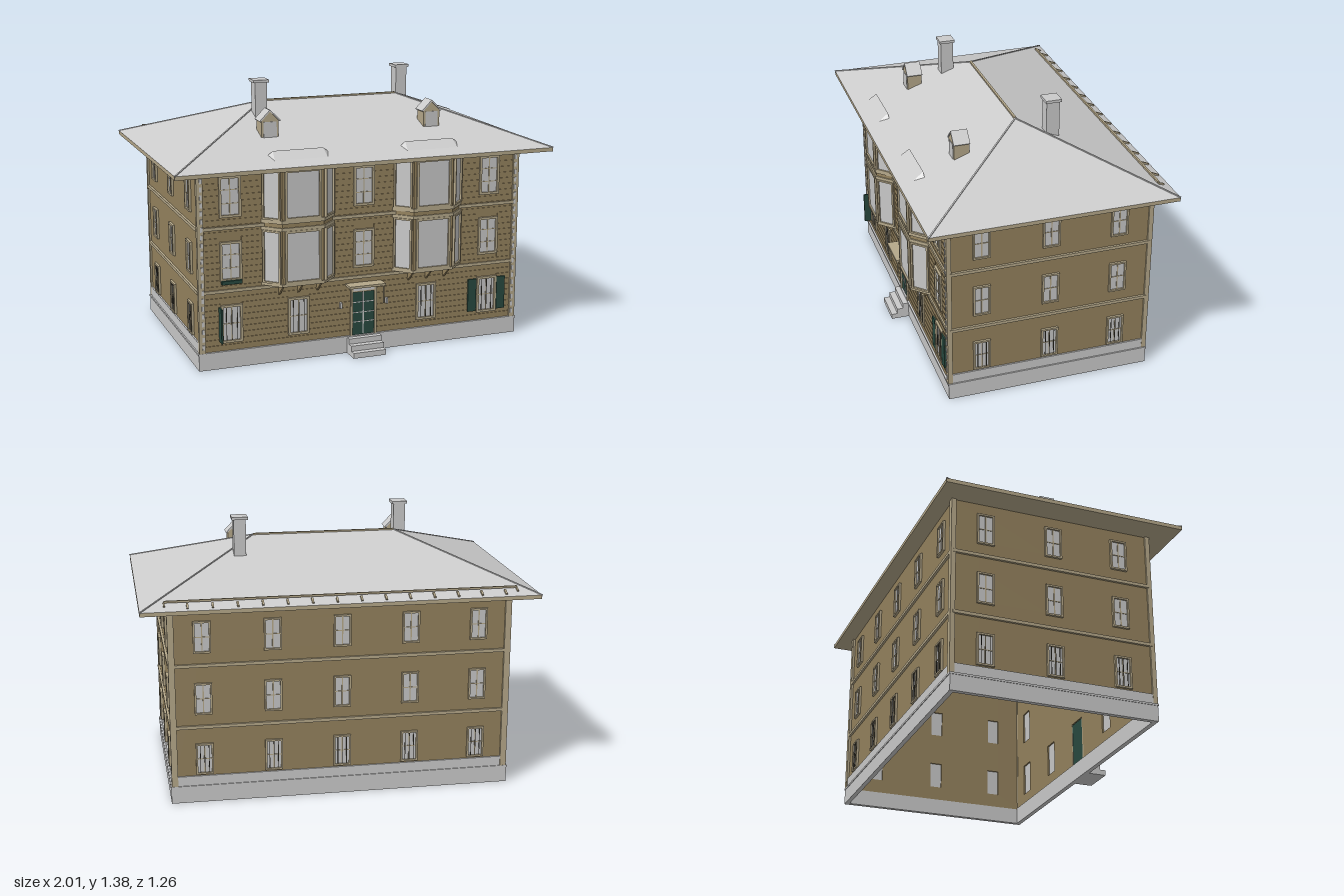
import * as THREE from 'three';

const mat = (name, color, side = THREE.FrontSide) => {
  const m = new THREE.MeshStandardMaterial({ color, side });
  m.name = name;
  return m;
};
const M = {
  wall: mat('ochre wall', 0x94825e),
  trim: mat('beige trim', 0xb5a88a),
  grey: mat('light grey stone', 0xcacaca),
  roof: mat('grey roof', 0xcccccc, THREE.DoubleSide),
  glass: mat('pale glass', 0xc8c8c8),
  green: mat('dark green', 0x28493f),
  iron: mat('dark iron', 0x4a463c),
};

function add(parent, name, geo, material, x = 0, y = 0, z = 0) {
  const m = new THREE.Mesh(geo, material);
  m.name = name;
  m.position.set(x, y, z);
  parent.add(m);
  return m;
}
// Box given by its limits on each axis
const box = (p, name, m, x0, x1, y0, y1, z0, z1) =>
  add(p, name, new THREE.BoxGeometry(x1 - x0, y1 - y0, z1 - z0), m, (x0 + x1) / 2, (y0 + y1) / 2, (z0 + z1) / 2);

function group(parent, name, x = 0, y = 0, z = 0, ry = 0) {
  const g = new THREE.Group();
  g.name = name;
  g.position.set(x, y, z);
  g.rotation.y = ry;
  parent.add(g);
  return g;
}
const rect = (T, x0, x1, y0, y1) => new T([[x0, y0], [x1, y0], [x1, y1], [x0, y1]].map(a => new THREE.Vector2(...a)));

// Rectangle with rectangular holes, extruded from z0 by depth
function pierced(x0, x1, y0, y1, holes, depth, z0) {
  const s = rect(THREE.Shape, x0, x1, y0, y1);
  s.holes = holes.map(h => rect(THREE.Path, ...h));
  return new THREE.ExtrudeGeometry(s, { depth, bevelEnabled: false }).translate(0, 0, z0);
}
// Horizontal slab from a plan outline of [x, z] points
function slab(points, y0, y1) {
  const s = new THREE.Shape(points.map(([x, z]) => new THREE.Vector2(x, -z)));
  return new THREE.ExtrudeGeometry(s, { depth: y1 - y0, bevelEnabled: false }).rotateX(-Math.PI / 2).translate(0, y0, 0);
}
// Flat faces from convex polygons, corners counter-clockwise from outside
function faces(polys) {
  const v = [];
  for (const p of polys) for (let i = 1; i < p.length - 1; i++) v.push(...p[0], ...p[i], ...p[i + 1]);
  const g = new THREE.BufferGeometry();
  g.setAttribute('position', new THREE.Float32BufferAttribute(v, 3));
  g.computeVertexNormals();
  return g;
}
// Thin bar between two points
function bar(p, name, m, a, b, t) {
  const A = new THREE.Vector3(...a), B = new THREE.Vector3(...b);
  const o = add(p, name, new THREE.BoxGeometry(t, t, A.distanceTo(B)), m);
  o.position.copy(A).add(B).multiplyScalar(0.5);
  o.lookAt(B);
}

// Framed window facing +z, centred on (x, y)
function windowUnit(parent, x, y, w, h, { cols = 2, rows = 3, bars = 0, z = 0, ry = 0, f = 0.012 } = {}) {
  const g = group(parent, 'window', x, y, z, ry), a = w / 2, b = h / 2;
  add(g, 'windowFrame', pierced(-a, a, -b, b, [[-a + f, a - f, -b + f, b - f]], 0.012, 0), M.trim);
  box(g, 'windowPane', M.glass, -a + f, a - f, -b + f, b - f, -0.004, 0.003);
  for (let i = 1; i < cols; i++) {
    const u = -a + (w * i) / cols;
    box(g, 'mullion', M.trim, u - 0.003, u + 0.003, -b + f, b - f, 0.002, 0.006);
  }
  for (let i = 1; i < rows; i++) {
    const u = -b + (h * i) / rows;
    box(g, 'glazingBar', M.trim, -a + f, a - f, u - 0.002, u + 0.002, 0.002, 0.006);
  }
  for (let i = 1; i <= bars; i++) {
    const u = -a + (w * i) / (bars + 1);
    box(g, 'windowGrille', M.iron, u - 0.0015, u + 0.0015, -b + f, b - f, 0.007, 0.01);
  }
}

const opening = ([x, y, w, h]) => [x - w / 2 + 0.011, x + w / 2 - 0.011, y - h / 2 + 0.011, y + h / 2 - 0.011];

// One outer wall with its windows and string courses
function facade(root, name, half, x, z, ry, wins, extraHoles = []) {
  const g = group(root, name, x, 0, z, ry);
  const holes = [...wins.map(opening), ...extraHoles];
  add(g, 'wall', pierced(-half, half, 0.085, 1.005, holes, 0.012, -0.012), M.wall);
  for (const [wx, wy, w, h, opt] of wins) windowUnit(g, wx, wy, w, h, opt);
  for (const y of [0.4, 0.72]) box(g, 'stringCourse', M.trim, -half, half, y - 0.008, y + 0.008, 0, 0.012);
  return g;
}

// Two-storey bay with angled sides
function bayWindow(root, x) {
  const g = group(root, 'bayWindow', x);
  const plan = e => [[-0.19 - e, 0.49], [-0.19 - e, 0.5], [-0.11 - e / 2, 0.58 + e], [0.11 + e / 2, 0.58 + e], [0.19 + e, 0.5], [0.19 + e, 0.49]];
  add(g, 'bayBody', slab(plan(-0.004), 0.415, 1.005), M.wall);
  for (const [y0, y1] of [[0.412, 0.426], [0.695, 0.712], [0.732, 0.75]]) add(g, 'bayLedge', slab(plan(0.003), y0, y1), M.trim);
  for (const [y, h] of [[0.561, 0.27], [0.875, 0.25]]) {
    windowUnit(g, 0, y, 0.19, h, { cols: 1, rows: 1, z: 0.574 });
    for (const s of [-1, 1]) windowUnit(g, s * 0.148, y, 0.098, h, { cols: 1, rows: 1, z: 0.537, ry: s * Math.PI / 4, f: 0.009 });
  }
  for (const bx of [-0.1, 0, 0.1]) {
    const s = new THREE.Shape([[0, 0], [0.075, 0.065], [0, 0.065]].map(a => new THREE.Vector2(...a)));
    const b = add(g, 'bayBracket', new THREE.ExtrudeGeometry(s, { depth: 0.01, bevelEnabled: false }), M.wall, bx + 0.005, 0.35, 0.497);
    b.rotation.y = -Math.PI / 2;
  }
  // Small hipped roof above the bay
  const a = [-0.175, 1.05, 0.505], b = [-0.14, 1.03, 0.58], c = [0.14, 1.03, 0.58], d = [0.175, 1.05, 0.505];
  const e = [0.13, 1.085, 0.505], f = [-0.13, 1.085, 0.505], low = p => [p[0], 1.02, p[2]];
  add(g, 'bayRoof', faces([[b, c, e, f], [a, b, f], [c, d, e], [a, f, e, d], [low(b), low(c), c, b], [low(a), low(b), b, a], [low(c), low(d), d, c]]), M.roof);
}

function dormer(root, x) {
  const g = group(root, 'dormer', x, 0, 0.27);
  const s = new THREE.Shape([[-0.045, 1.1], [0.045, 1.1], [0.045, 1.205], [0, 1.25], [-0.045, 1.205]].map(a => new THREE.Vector2(...a)));
  add(g, 'dormerBody', new THREE.ExtrudeGeometry(s, { depth: 0.078, bevelEnabled: false }), M.trim);
  box(g, 'dormerPane', M.glass, -0.034, 0.034, 1.12, 1.2, 0.077, 0.081);
  for (const k of [-1, 1]) {
    const r = add(g, 'dormerRoof', new THREE.BoxGeometry(0.076, 0.007, 0.084), M.roof, k * 0.026, 1.23, 0.04);
    r.rotation.z = -k * 0.79;
  }
}

export function createModel() {
  const root = new THREE.Group();
  root.name = 'house';

  // Open foundation ring
  const ring = (name, m, e, y0, y1) => {
    const gz = pierced(-0.872 - e, 0.872 + e, -0.505 - e, 0.55 + e, [[-0.848, 0.848, -0.48, 0.526]], y1 - y0, 0);
    add(root, name, gz.rotateX(-Math.PI / 2), m, 0, y0, 0);
  };
  ring('foundation', M.grey, 0, 0, 0.08);
  ring('foundationCap', M.grey, 0.003, 0.08, 0.09);

  // Front: plain windows, door and bays
  const front = [];
  for (const x of [-0.7, 0, 0.7]) front.push([x, 0.875, 0.112, 0.205, {}], [x, 0.55, 0.112, 0.2, {}]);
  for (const x of [-0.7, -0.35, 0.35, 0.7]) front.push([x, 0.23, 0.112, 0.195, { rows: 2, bars: 3 }]);
  const doorHole = [-0.066, 0.066, 0.09, 0.325];
  const f = facade(root, 'frontFacade', 0.86, 0, 0.496, 0, front, [doorHole]);

  // Horizontal boards, cut around the openings
  const cuts = [...front.map(([x, y, w, h]) => [x - w / 2, x + w / 2, y - h / 2, y + h / 2]), doorHole];
  for (let y = 0.095; y < 0.99; y += 0.0305) {
    let u = -0.84;
    const hit = cuts.filter(c => c[2] < y + 0.026 && c[3] > y).sort((p, q) => p[0] - q[0]);
    for (const c of [...hit, [0.84]]) {
      box(f, 'sidingBoard', M.wall, u, c[0], y, y + 0.026, 0, 0.004);
      u = c[1];
    }
  }

  // Sides and back
  const rows = [0.23, 0.547, 0.865];
  const grid = xs => xs.flatMap(x => rows.map((y, i) => [x, y, 0.088, 0.163, { rows: 2, bars: i ? 0 : 3, f: 0.009 }]));
  const others = [
    facade(root, 'leftFacade', 0.5175, 0.86, -0.0225, Math.PI / 2, grid([-0.353, 0, 0.353])),
    facade(root, 'rightFacade', 0.5175, -0.86, -0.0225, -Math.PI / 2, grid([-0.353, 0, 0.353])),
    facade(root, 'backFacade', 0.86, 0, -0.54, Math.PI, grid([-0.7, -0.35, 0, 0.35, 0.7])),
  ];
  others.forEach((g, i) => {
    const h = i < 2 ? 0.51 : 0.84;
    box(g, 'plinthBand', M.grey, -h, h, 0.09, 0.14, 0, 0.008);
  });

  // Corner boards with small blocks
  for (const s of [-1, 1]) {
    for (const z of [0.495, -0.54]) box(root, 'cornerBoard', M.trim, s * 0.853 - 0.016, s * 0.853 + 0.016, 0.09, 1.003, z - 0.012, z + 0.012);
    for (let y = 0.11; y < 0.99; y += 0.04) box(root, 'cornerBlock', M.grey, s * 0.848 - 0.006, s * 0.848 + 0.006, y, y + 0.024, 0.505, 0.51);
  }

  for (const x of [-0.35, 0.35]) bayWindow(root, x);

  // Door, canopy, lamps and steps
  const d = group(root, 'entrance');
  box(d, 'door', M.green, -0.062, 0.062, 0.09, 0.32, 0.486, 0.499);
  for (const x of [-0.066, 0.066]) box(d, 'doorPost', M.trim, x - 0.006, x + 0.006, 0.09, 0.325, 0.484, 0.508);
  box(d, 'doorMullion', M.grey, -0.003, 0.003, 0.095, 0.318, 0.498, 0.502);
  for (const y of [0.16, 0.21, 0.265]) box(d, 'doorRail', M.grey, -0.06, 0.06, y - 0.002, y + 0.002, 0.498, 0.502);
  box(d, 'doorHeader', M.trim, -0.072, 0.072, 0.32, 0.357, 0.49, 0.508);
  box(d, 'headerPanel', M.grey, -0.058, 0.058, 0.328, 0.35, 0.507, 0.511);
  box(d, 'canopy', M.trim, -0.098, 0.098, 0.358, 0.37, 0.49, 0.566);
  for (const s of [-1, 1]) {
    box(d, 'canopyHanger', M.trim, s * 0.09 - 0.003, s * 0.09 + 0.003, 0.265, 0.36, 0.554, 0.56);
    box(d, 'lamp', M.grey, s * 0.126 - 0.005, s * 0.126 + 0.005, 0.245, 0.275, 0.5, 0.518);
  }
  [0.6, 0.568, 0.536].forEach((z, i) => box(d, 'step', M.grey, -0.09, 0.088, i * 0.028, (i + 1) * 0.028, 0.5, z));

  // Shutters and planter
  for (const x of [0.615, 0.782]) box(root, 'shutter', M.green, x - 0.024, x + 0.024, 0.143, 0.32, 0.5, 0.508);
  box(root, 'openShutter', M.green, -0.766, -0.758, 0.143, 0.32, 0.5, 0.545);
  box(root, 'planter', M.green, -0.752, -0.648, 0.437, 0.455, 0.5, 0.522);

  // Hipped roof with eaves, ridge and hips
  const y = 1.022, A = [-1, y, -0.625], B = [1, y, -0.625], C = [1, y, 0.625], D = [-1, y, 0.625];
  const R = [-0.375, 1.25, 0], S = [0.375, 1.25, 0];
  box(root, 'eaves', M.trim, -1, 1, 1.002, y, -0.625, 0.625);
  add(root, 'roof', faces([[D, C, S, R], [C, B, S], [B, A, R, S], [A, D, R]]), M.roof);
  bar(root, 'ridgeCap', M.trim, R, S, 0.012);
  for (const [a, b] of [[A, R], [D, R], [B, S], [C, S]]) bar(root, 'hipCap', M.roof, a, b, 0.007);

  // Snow guard along the back eave
  bar(root, 'snowGuardRail', M.trim, [-0.885, 1.055, -0.56], [0.88, 1.055, -0.56], 0.01);
  for (const x of [-0.885, 0.88]) bar(root, 'snowGuardEnd', M.trim, [x, 1.05, -0.56], [x, 1.04, -0.59], 0.008);
  for (let i = 0; i < 14; i++) bar(root, 'snowGuardBracket', M.trim, [-0.82 + i * 0.1222, 1.045, -0.575], [-0.82 + i * 0.1222, 1.03, -0.61], 0.01);

  // Chimneys and dormers
  for (const [x, z] of [[-0.427, 0.125], [0.465, -0.155]]) {
    const c = group(root, 'chimney', x, 0, z);
    box(c, 'chimneyStack', M.grey, -0.031, 0.031, 1.1, 1.368, -0.034, 0.034);
    box(c, 'chimneyCap', M.grey, -0.041, 0.041, 1.368, 1.382, -0.041, 0.041);
  }
  for (const x of [-0.442, 0.435]) dormer(root, x);
  return root;
}
